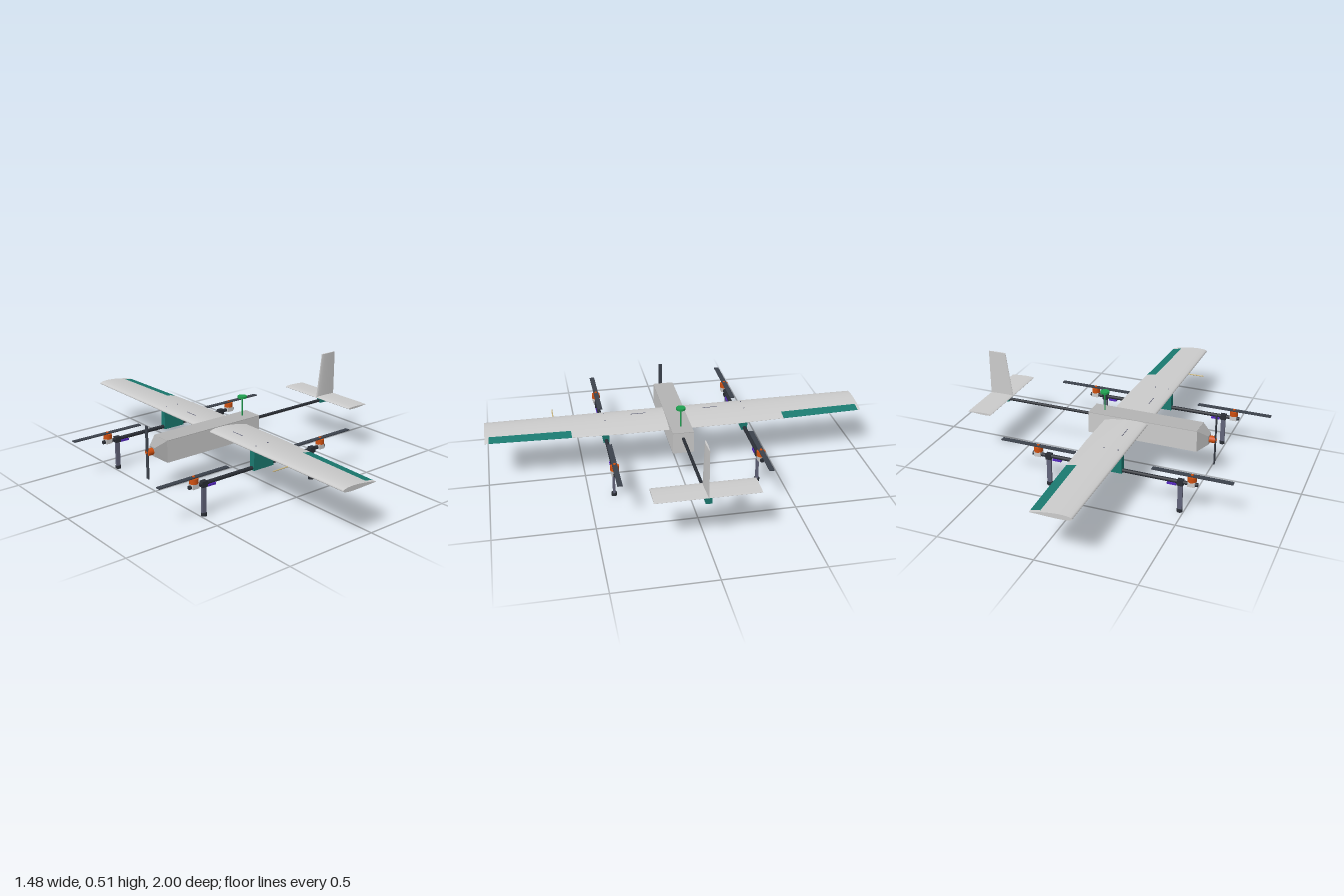
import * as THREE from 'three';
import { toCreasedNormals } from 'three/addons/utils/BufferGeometryUtils.js';

const mat = (color) => new THREE.MeshStandardMaterial({ color });
const WHITE = mat(0xf4f4f4), HULL = mat(0xcccccc), LID = mat(0xb4b4b4), NOSE = mat(0xa8a8a8),
  SILVER = mat(0xcccccc), TEAL = mat(0x1a7a70), DARK = mat(0x2a2e35), BLADE = mat(0x3c424c),
  LEG = mat(0x62647a), ORANGE = mat(0xd0500f), GREEN = mat(0x1fa050), PURPLE = mat(0x5528c0), TAN = mat(0xcdb880);

function add(parent, name, geo, material, x = 0, y = 0, z = 0) {
  const m = new THREE.Mesh(geo, material);
  m.name = name;
  m.position.set(x, y, z);
  parent.add(m);
  return m;
}
const box = (w, h, d) => new THREE.BoxGeometry(w, h, d);
const cyl = (r, h, s = 24) => new THREE.CylinderGeometry(r, r, h, s);
const rod = (r, len, s = 16) => cyl(r, len, s).rotateZ(Math.PI / 2);

// Airfoil skin through sections [span, lead, trail], covering the chord range u0..u1.
// Chord runs along x, thickness along y, span along z.
function airfoil(sections, { thick = 0.09, camber = 0, drop = 0, u0 = 0, u1 = 1 }) {
  const n = 14;
  const rings = sections.map(([z, lead, trail]) => {
    const c = trail - lead;
    const point = (k, side) => {
      const u = u0 + (u1 - u0) * (1 - Math.cos(Math.PI * k / n)) / 2;
      const half = 5 * thick * (0.2969 * Math.sqrt(u) - 0.126 * u - 0.3516 * u * u + 0.2843 * u ** 3 - 0.1015 * u ** 4);
      const y = c * (4 * camber * u * (1 - u) + side * half) - drop * u + side * 0.0004;
      return [lead + c * u, y, z];
    };
    const ring = [];
    for (let k = 0; k <= n; k++) ring.push(point(k, 1));
    for (let k = n; k >= 0; k--) ring.push(point(k, -1));
    return ring;
  });
  const pos = [], m = 2 * n + 2;
  const quad = (a, b, c, d) => pos.push(...a, ...b, ...c, ...a, ...c, ...d);
  for (let i = 0; i < rings.length - 1; i++) {
    const A = rings[i], B = rings[i + 1];
    for (let j = 0; j < m; j++) quad(A[j], B[j], B[(j + 1) % m], A[(j + 1) % m]);
  }
  const first = rings[0], last = rings[rings.length - 1];
  for (let j = 0; j < n; j++) {
    quad(first[j], first[j + 1], first[m - 2 - j], first[m - 1 - j]);
    quad(last[j], last[m - 1 - j], last[m - 2 - j], last[j + 1]);
  }
  const g = new THREE.BufferGeometry();
  g.setAttribute('position', new THREE.Float32BufferAttribute(pos, 3));
  return toCreasedNormals(g, 0.6);
}

// Two-blade propeller lying flat
function propeller(name, length, width) {
  const g = new THREE.Group();
  g.name = name;
  add(g, 'blades', box(length, 0.005, width), BLADE);
  add(g, 'hub', cyl(0.007, 0.012), ORANGE);
  return g;
}

function liftRotor(x) {
  const g = new THREE.Group();
  g.name = 'liftRotor';
  g.position.x = x;
  add(g, 'motorClamp', box(0.036, 0.026, 0.036), SILVER, 0, 0.17);
  add(g, 'motor', cyl(0.022, 0.026), ORANGE, 0, 0.195);
  const p = propeller('liftPropeller', 0.405, 0.026);
  p.position.y = 0.212;
  g.add(p);
  return g;
}

function landingLeg(x) {
  const g = new THREE.Group();
  g.name = 'landingLeg';
  g.position.x = x;
  add(g, 'clamp', box(0.03, 0.03, 0.026), DARK, 0, 0.164);
  add(g, 'strut', box(0.024, 0.14, 0.011), LEG, 0, 0.085);
  add(g, 'foot', cyl(0.0145, 0.016), DARK, 0, 0.008);
  return g;
}

export function createModel() {
  const model = new THREE.Group();
  model.name = 'fixedWingDrone';

  // Fuselage with lid and tapered nose
  add(model, 'fuselage', box(0.594, 0.114, 0.11), HULL, -0.163, 0.218);
  add(model, 'fuselageLid', box(0.594, 0.003, 0.11), LID, -0.163, 0.2765);
  const nose = new THREE.CylinderGeometry(0.4 / Math.SQRT2, 1 / Math.SQRT2, 0.052, 4)
    .toNonIndexed().rotateY(Math.PI / 4).rotateZ(Math.PI / 2);
  nose.scale(1, 0.116, 0.11);
  nose.computeVertexNormals();
  add(model, 'nose', nose, NOSE, -0.486, 0.219);
  add(model, 'bellyHatch', box(0.11, 0.004, 0.07), LEG, -0.12, 0.16);

  // Nose motor and propeller
  add(model, 'noseMotor', rod(0.018, 0.034, 24), ORANGE, -0.526, 0.219);
  const puller = propeller('nosePropeller', 0.28, 0.019);
  puller.rotation.z = Math.PI / 2;
  puller.position.set(-0.542, 0.219, 0);
  model.add(puller);

  // Wing, trailing edge tapering outboard, split at the aileron hinge line
  const trail = (z) => 0.041 - 0.029 * Math.max(0, (Math.abs(z) - 0.3) / 0.7);
  const section = (z) => [z, -0.195, trail(z)];
  const foil = { thick: 0.115, camber: 0.015, drop: 0.01 };
  const hinge = 0.76;
  const panel = (name, spans, material, u0, u1) =>
    add(model, name, airfoil(spans.map(section), { ...foil, u0, u1 }), material, 0, 0.261);
  panel('wing', [-1, -0.3, 0.3, 1], WHITE, 0, hinge);
  for (const spans of [[-1, -0.985], [-0.565, -0.3, 0.3, 0.56], [0.98, 1]]) {
    panel('wingTrailingEdge', spans, WHITE, hinge, 1);
  }
  for (const spans of [[-0.985, -0.565], [0.56, 0.98]]) panel('aileron', spans, TEAL, hinge, 1);

  // Airspeed probe
  add(model, 'airspeedProbe', rod(0.003, 0.1), TAN, -0.233, 0.26, 0.64);

  // Lift booms, mirrored on both wings
  for (const side of [-1, 1]) {
    const boom = new THREE.Group();
    boom.name = 'liftBoom';
    boom.position.z = side * 0.375;
    add(boom, 'boomTube', rod(0.01, 0.87), DARK, -0.133, 0.166);
    add(boom, 'pylon', box(0.125, 0.1, 0.031), TEAL, -0.1215, 0.204);
    for (const x of [-0.16, -0.085]) add(boom, 'wingBolt', cyl(0.003, 0.004, 12), LEG, x, 0.273);
    for (const x of [-0.538, 0.272]) boom.add(liftRotor(x));
    for (const x of [-0.481, 0.214]) boom.add(landingLeg(x));
    for (const x of [-0.438, 0.167]) add(boom, 'speedController', box(0.045, 0.01, 0.024), PURPLE, x, 0.1525);
    model.add(boom);
    add(model, 'wingSlot', box(0.003, 0.002, 0.08), LEG, -0.125, 0.2755, side * 0.195);
  }

  // Tail boom, mount, tailplane and fin
  add(model, 'tailBoom', rod(0.008, 0.52), DARK, 0.382, 0.243);
  add(model, 'tailMount', box(0.11, 0.03, 0.03), TEAL, 0.68, 0.247);
  add(model, 'tailplane', airfoil([[-0.255, 0.604, 0.737], [0.255, 0.604, 0.737]], { thick: 0.08 }), WHITE, 0, 0.264);
  const fin = airfoil([[0.262, 0.603, 0.737], [0.51, 0.637, 0.737]], { thick: 0.08 }).rotateX(-Math.PI / 2);
  add(model, 'fin', fin, WHITE);

  // Antenna mast
  add(model, 'antennaMast', cyl(0.0035, 0.105, 12), GREEN, 0.063, 0.328);
  add(model, 'antennaDisc', cyl(0.024, 0.011, 32), GREEN, 0.063, 0.382);

  return model;
}
